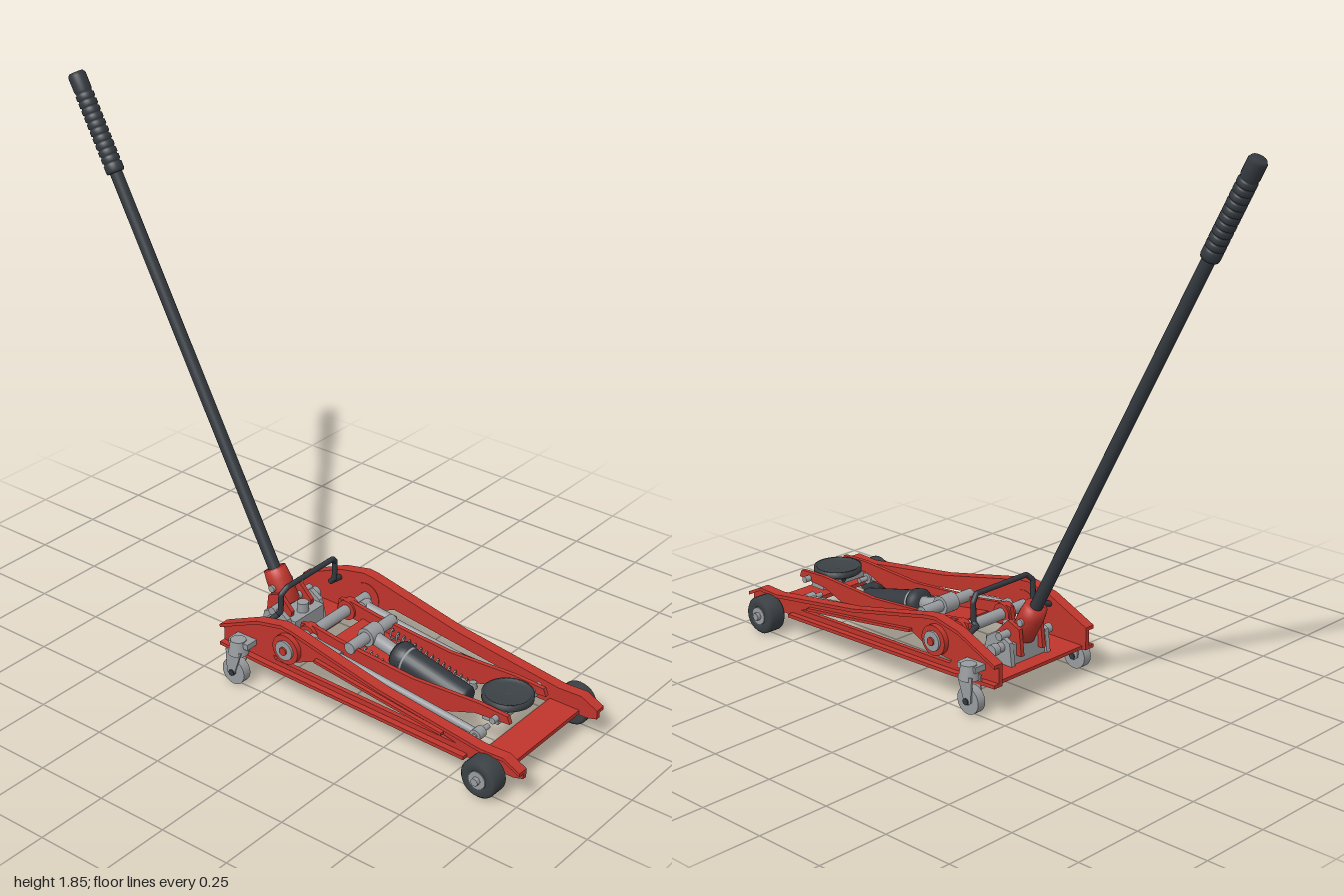
import * as THREE from 'three';

const mat = (name, color, extra) => Object.assign(new THREE.MeshStandardMaterial({ color }), { name }, extra);

export function createModel() {
  const root = new THREE.Group();
  root.name = 'floorJack';
  const red = mat('red paint', 0xbf352c);
  const steel = mat('steel', 0x999c9f);
  const black = mat('black metal', 0x33393f);
  const rubber = mat('rubber', 0x3b4145);
  const V = (p) => new THREE.Vector3(...p);

  const add = (name, geo, m, parent = root) => {
    const mesh = new THREE.Mesh(geo, m);
    mesh.name = name;
    parent.add(mesh);
    return mesh;
  };
  const box = (name, size, pos, m) => {
    const b = add(name, new THREE.BoxGeometry(...size), m);
    b.position.set(...pos);
    return b;
  };
  // round bar between two points
  const rod = (name, a, b, r, m, r2 = r, seg = 24) => {
    const d = V(b).sub(V(a));
    const mesh = add(name, new THREE.CylinderGeometry(r2, r, d.length(), seg), m);
    mesh.position.copy(V(a)).addScaledVector(d, 0.5);
    mesh.quaternion.setFromUnitVectors(new THREE.Vector3(0, 1, 0), d.normalize());
    return mesh;
  };
  // lathe profile of [radius, distance] pairs running from a towards b
  const turned = (name, profile, a, b, m) => {
    const mesh = add(name, new THREE.LatheGeometry(profile.map((p) => new THREE.Vector2(...p)), 28), m);
    mesh.position.set(...a);
    mesh.quaternion.setFromUnitVectors(new THREE.Vector3(0, 1, 0), V(b).sub(V(a)).normalize());
    return mesh;
  };
  const shapeOf = (pts) => new THREE.Shape(pts.map((p) => new THREE.Vector2(...p)));
  // plate drawn as (z, y) and spanning x0..x1
  const plate = (name, pts, x0, x1, m, hole) => {
    const s = shapeOf(pts);
    if (hole) s.holes.push(new THREE.Path(hole.map((p) => new THREE.Vector2(...p))));
    const g = new THREE.ExtrudeGeometry(s, { depth: Math.abs(x1 - x0), bevelEnabled: false });
    g.rotateY(-Math.PI / 2).translate(Math.max(x0, x1), 0, 0);
    return add(name, g, m);
  };
  const band = (pts, t) => [...pts, ...pts.map(([z, y]) => [z, y - t]).reverse()];
  // horizontal plate drawn as (x, z)
  const flat = (name, pts, y, t, m) => {
    const g = new THREE.ExtrudeGeometry(shapeOf(pts), { depth: t, bevelEnabled: false });
    return add(name, g.rotateX(Math.PI / 2).translate(0, y + t, 0), m);
  };

  const top = [[0.995, 0.11], [0.935, 0.14], [0.85, 0.137], [0.465, 0.19], [0.11, 0.267], [0.07, 0.271], [-0.03, 0.25], [-0.19, 0.178]];
  const bottom = [[-0.19, 0.1], [0, 0.09], [0.8, 0.07], [0.96, 0.07], [0.995, 0.08]];
  const slot = [[0.75, 0.102], [0.03, 0.118], [0.02, 0.13], [0.11, 0.138], [0.2, 0.178], [0.45, 0.146], [0.7, 0.114]];
  const link = [[0.12, 0.19], [0.78, 0.115]];

  for (const s of [-1, 1]) {
    // side frame: web with flanges
    plate('sideFrame', [...top, ...bottom], s * 0.197, s * 0.213, red, slot);
    plate('topFlange', band(top, 0.012), s * 0.197, s * 0.235, red);
    plate('bottomFlange', band([[0.79, 0.082], [0, 0.102], [-0.19, 0.112]], 0.012), s * 0.197, s * 0.235, red);
    plate('slotFlange', band([[0.7, 0.126], [0.45, 0.157], [0.2, 0.19]], 0.01), s * 0.197, s * 0.228, red);

    // front wheel
    turned('frontWheel', [[0, 0], [0.055, 0], [0.065, 0.01], [0.065, 0.06], [0.056, 0.07], [0.032, 0.07], [0.03, 0.062], [0, 0.062]],
      [s * 0.22, 0.066, 0.88], [s, 0.066, 0.88], rubber);
    rod('wheelHub', [s * 0.28, 0.066, 0.88], [s * 0.291, 0.066, 0.88], 0.03, steel);
    rod('axleNut', [s * 0.285, 0.066, 0.88], [s * 0.305, 0.066, 0.88], 0.014, steel, 0.014, 6);

    // rear caster
    box('casterBracket', [0.05, 0.02, 0.08], [s * 0.235, 0.152, -0.09], steel);
    rod('casterSwivel', [s * 0.252, 0.115, -0.095], [s * 0.252, 0.165, -0.095], 0.034, steel, 0.026);
    for (const k of [-1, 1]) {
      const x = s * 0.252 + k * 0.021;
      plate('casterFork', [[-0.065, 0.13], [-0.13, 0.13], [-0.125, 0.045], [-0.11, 0.033], [-0.095, 0.045]], x - 0.003, x + 0.003, steel);
    }
    rod('casterWheel', [s * 0.252 - 0.016, 0.046, -0.105], [s * 0.252 + 0.016, 0.046, -0.105], 0.046, steel);
    rod('casterPin', [s * 0.252 - 0.028, 0.046, -0.105], [s * 0.252 + 0.028, 0.046, -0.105], 0.011, black);

    // pivot boss on the frame
    rod('pivotBoss', [s * 0.195, 0.185, 0.085], [s * 0.232, 0.185, 0.085], 0.052, red);
    rod('pivotCap', [s * 0.23, 0.185, 0.085], [s * 0.24, 0.185, 0.085], 0.034, steel);
    rod('pivotBolt', [s * 0.236, 0.185, 0.085], [s * 0.246, 0.185, 0.085], 0.014, red);

    // lifting arm
    plate('liftArm', [[0.04, 0.165], [0.05, 0.215], [0.1, 0.22], [0.2, 0.205], [0.5, 0.182], [0.75, 0.195], [0.86, 0.19], [0.87, 0.165],
      [0.74, 0.155], [0.6, 0.105], [0.45, 0.115], [0.15, 0.155]], s * 0.092, s * 0.107, red);
    rod('armCollar', [s * 0.085, 0.185, 0.085], [s * 0.12, 0.185, 0.085], 0.035, red);

    // levelling link with eyes at both ends
    const [[z0, y0], [z1, y1]] = link;
    rod('levelLink', [s * 0.142, y0, z0], [s * 0.142, y1, z1], 0.012, steel);
    rod('linkSleeve', [s * 0.142, y0, z0], [s * 0.142, y0 - 0.014, z0 + 0.12], 0.018, steel);
    for (const [z, y] of link) rod('linkEye', [s * 0.125, y, z], [s * 0.16, y, z], 0.02, steel);
    rod('linkPin', [s * 0.09, y1, z1], [s * 0.165, y1, z1], 0.009, steel);

    // return spring
    const coil = [];
    for (let i = 0; i <= 168; i++) {
      const a = (i / 12) * Math.PI * 2, t = i / 168;
      coil.push(new THREE.Vector3(s * 0.072 + 0.014 * Math.cos(a), 0.18 - 0.075 * t + 0.014 * Math.sin(a), 0.28 + 0.32 * t));
    }
    add('returnSpring', new THREE.TubeGeometry(new THREE.CatmullRomCurve3(coil), 210, 0.0035, 5), steel);
    rod('springAnchor', [s * 0.072, 0.1, 0.61], [s * 0.072, 0.125, 0.61], 0.012, steel);

    // handle yoke cheeks
    plate('yokeCheek', [[-0.04, 0.14], [-0.03, 0.2], [-0.08, 0.25], [-0.13, 0.23], [-0.14, 0.14]], s * 0.043, s * 0.058, red);
    plate('pumpCheek', [[0, 0.11], [-0.02, 0.19], [-0.06, 0.215], [-0.12, 0.19], [-0.13, 0.11]], s * 0.075, s * 0.092, steel);
    rod('pumpBolt', [s * 0.09, 0.17, -0.085], [s * 0.135, 0.17, -0.085], 0.016, steel);
  }

  // cross members
  box('frontCrossPlate', [0.4, 0.014, 0.11], [0, 0.08, 0.875], red);
  rod('frontAxle', [-0.28, 0.066, 0.88], [0.28, 0.066, 0.88], 0.012, steel);
  flat('rearCrossPlate', [[-0.2, -0.175], [0.2, -0.175], [0.2, -0.01], [0.13, 0.03], [-0.13, 0.03], [-0.2, -0.01]], 0.1, 0.012, red);
  rod('pivotShaft', [-0.225, 0.185, 0.085], [0.225, 0.185, 0.085], 0.02, steel);

  // lift arm web and ram crosshead
  plate('armWeb', [[0.15, 0.175], [0.38, 0.14], [0.38, 0.128], [0.15, 0.163]], -0.093, 0.093, red);
  rod('crosshead', [-0.115, 0.2, 0.255], [0.115, 0.2, 0.255], 0.02, steel);
  rod('crossheadBlock', [-0.03, 0.2, 0.255], [0.03, 0.2, 0.255], 0.032, steel);
  rod('springBar', [-0.085, 0.103, 0.61], [0.085, 0.103, 0.61], 0.01, steel);

  // hydraulic cylinder
  const ramA = [0, 0.197, 0.25], ramB = [0, 0.105, 0.64];
  turned('ramNeck', [[0, 0], [0.024, 0], [0.022, 0.1], [0.032, 0.12], [0, 0.12]], ramA, ramB, steel);
  turned('ramCylinder', [[0, 0.11], [0.038, 0.11], [0.05, 0.125], [0.05, 0.15], [0.045, 0.155], [0.045, 0.39], [0.038, 0.4], [0, 0.4]], ramA, ramB, black);
  turned('ramRing', [[0.044, 0.157], [0.047, 0.157], [0.047, 0.163], [0.044, 0.163]], ramA, ramB, steel);

  // saddle
  turned('saddle', [[0, 0], [0.03, 0], [0.035, 0.025], [0.072, 0.03], [0.083, 0.037], [0.083, 0.057], [0.074, 0.057], [0.068, 0.049], [0.012, 0.049], [0, 0.045]],
    [0, 0.14, 0.79], [0, 1, 0.79], rubber);
  box('saddleMount', [0.19, 0.02, 0.06], [0, 0.147, 0.79], steel);
  rod('saddlePin', [-0.13, 0.17, 0.82], [0.13, 0.17, 0.82], 0.011, steel);

  // pump block and release knob
  box('pumpBlock', [0.15, 0.07, 0.12], [0, 0.147, -0.06], steel);
  rod('pumpPlunger', [0, 0.17, -0.03], [0, 0.215, -0.03], 0.02, steel);
  rod('yokePin', [-0.1, 0.205, -0.08], [0.1, 0.205, -0.08], 0.014, steel);
  rod('releaseKnob', [0.115, 0.17, -0.085], [0.14, 0.17, -0.085], 0.02, steel);

  // handle socket, shaft and ribbed grip
  const h0 = [0, 0.19, -0.092], h1 = [0, 1.842, -0.972];
  turned('handleSocket', [[0, 0], [0.042, 0], [0.042, 0.09], [0.038, 0.125], [0.02, 0.125]], h0, h1, red);
  rod('socketBolt', [-0.05, 0.25, -0.124], [0.05, 0.25, -0.124], 0.012, steel);
  rod('handleShaft', [0, 0.28, -0.14], [0, 1.78, -0.939], 0.021, black);
  const len = V(h1).distanceTo(V(h0)), start = len - 0.345;
  const grip = [[0.02, start], [0.029, start], [0.031, start + 0.008]];
  for (let i = 0; i < 11; i++) {
    const d = start + 0.015 + i * 0.024;
    grip.push([0.031, d], [0.031, d + 0.015], [0.027, d + 0.017], [0.027, d + 0.022]);
  }
  grip.push([0.03, len - 0.06], [0.03, len - 0.01], [0.024, len], [0, len]);
  turned('handleGrip', grip, h0, h1, black);

  // carrying bar
  const bar = new THREE.CurvePath();
  const pts = [[-0.14, 0.23, -0.025], [-0.14, 0.25, -0.008], [-0.14, 0.315, -0.006], [-0.118, 0.336, 0.002],
    [0.118, 0.336, 0.002], [0.14, 0.315, -0.006], [0.14, 0.25, -0.008], [0.14, 0.23, -0.025]].map(V);
  for (let i = 1; i < pts.length; i++) bar.add(new THREE.LineCurve3(pts[i - 1], pts[i]));
  add('carryBar', new THREE.TubeGeometry(bar, 120, 0.0095, 10), black);
  for (const s of [-1, 1]) {
    rod('carryBarFoot', [s * 0.14, 0.235, -0.02], [s * 0.2, 0.22, -0.03], 0.01, black);
  }
  return root;
}
